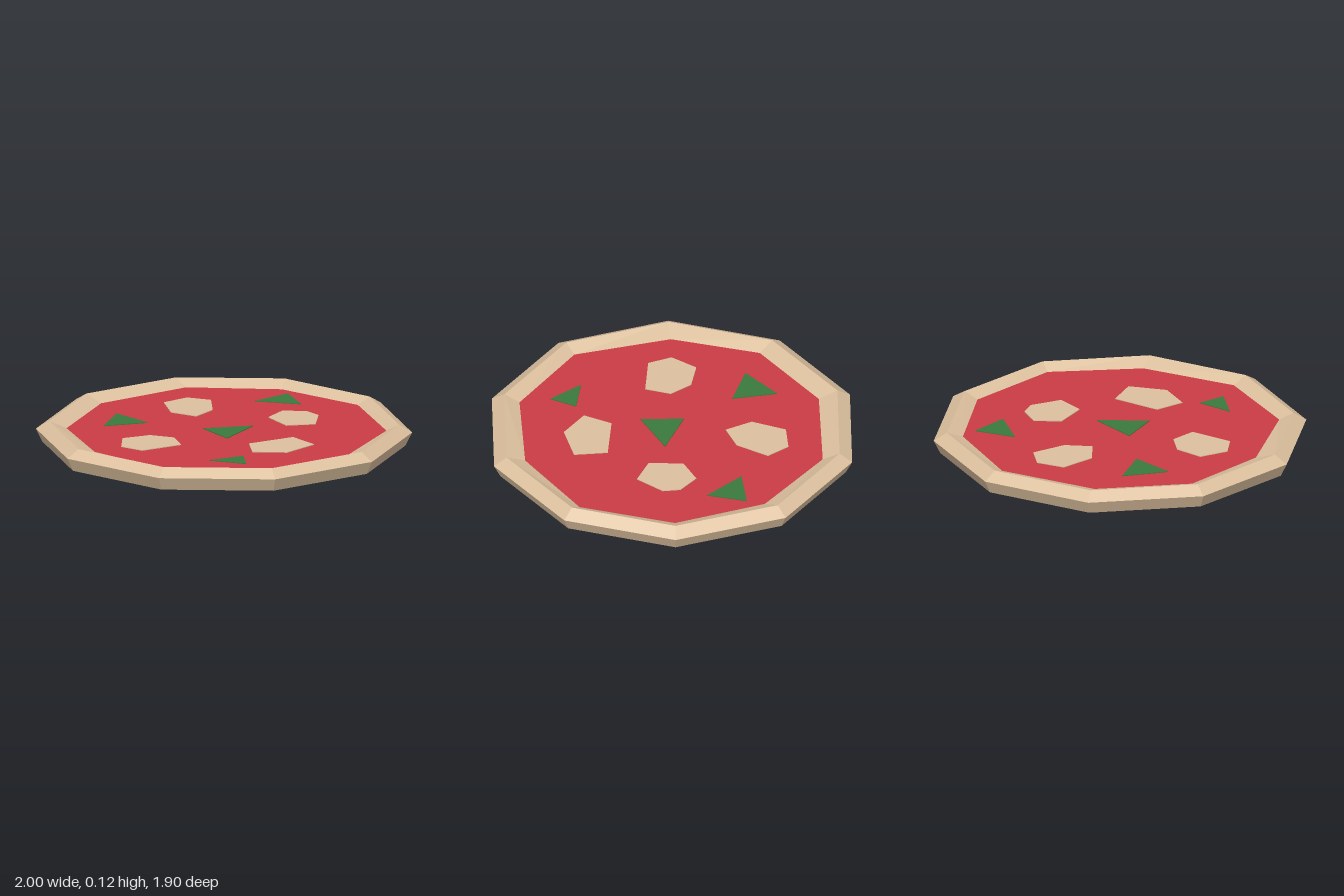
import * as THREE from 'three';

const SIDES = 10;
const SAUCE_Y = 0.08;

const material = (name, color, flatShading = true) => {
  const m = new THREE.MeshStandardMaterial({ color, flatShading });
  m.name = name;
  return m;
};

// Sauce outline as [x, z], one corner per crust side
const SAUCE = [
  [0.855, 0], [0.70, 0.505], [0.27, 0.785], [-0.26, 0.805], [-0.69, 0.505],
  [-0.82, -0.01], [-0.685, -0.48], [-0.26, -0.785], [0.29, -0.795], [0.69, -0.48],
];

const MUSHROOMS = [
  [[0.02, -0.605], [0.175, -0.615], [0.255, -0.505], [0.155, -0.34], [0.015, -0.285], [-0.055, -0.425]],
  [[-0.555, -0.14], [-0.40, -0.11], [-0.32, 0], [-0.365, 0.135], [-0.60, 0.115], [-0.65, -0.01]],
  [[0.32, -0.055], [0.455, -0.12], [0.555, -0.035], [0.565, 0.06], [0.455, 0.195], [0.31, 0.13]],
  [[-0.055, 0.32], [0.21, 0.345], [0.225, 0.525], [0.02, 0.575], [-0.13, 0.465]],
];

const PEPPERS = [
  [[-0.31, -0.565], [-0.27, -0.325], [-0.50, -0.40]],
  [[0.44, -0.36], [0.665, -0.385], [0.61, -0.175]],
  [[-0.09, -0.065], [0.16, 0.04], [-0.09, 0.165]],
  [[-0.41, 0.475], [-0.215, 0.505], [-0.285, 0.64]],
];

const outline = (points) =>
  new THREE.Shape(points.map(([x, z]) => new THREE.Vector2(x, -z)));

// Regular ring of crust corners
function ring(radius, y) {
  return Array.from({ length: SIDES }, (_, i) => {
    const a = (i / SIDES) * Math.PI * 2;
    return [Math.cos(a) * radius, y, Math.sin(a) * radius];
  });
}

// Crust: bottom disc, flared side, bevel and slope down to the sauce
function crustGeometry() {
  const rings = [
    ring(0, 0),
    ring(0.965, 0),
    ring(1, 0.072),
    ring(0.93, 0.115),
    SAUCE.map(([x, z]) => [x, SAUCE_Y, z]),
  ];
  const positions = [];
  for (let r = 0; r < rings.length - 1; r++) {
    const a = rings[r], b = rings[r + 1];
    for (let i = 0; i < SIDES; i++) {
      const j = (i + 1) % SIDES;
      if (r > 0) positions.push(...a[i], ...b[i], ...a[j]);
      positions.push(...b[i], ...b[j], ...a[j]);
    }
  }
  const geometry = new THREE.BufferGeometry();
  geometry.setAttribute('position', new THREE.Float32BufferAttribute(positions, 3));
  geometry.computeVertexNormals();
  return geometry;
}

export function createModel() {
  const model = new THREE.Group();
  model.name = 'pizza';
  const dough = material('dough', 0xdcc09e);
  const tomato = material('tomato', 0xc93b44);
  const green = material('green pepper', 0x3b793f);

  const add = (name, geometry, mat, parent = model) => {
    const mesh = new THREE.Mesh(geometry, mat);
    mesh.name = name;
    parent.add(mesh);
    return mesh;
  };

  add('crust', crustGeometry(), dough);

  // Sauce surface
  const sauce = new THREE.ShapeGeometry(outline(SAUCE)).rotateX(-Math.PI / 2);
  add('sauce', sauce, tomato).position.y = SAUCE_Y;

  // Thin toppings lying on the sauce
  const scatter = (groupName, name, pieces, mat) => {
    const group = new THREE.Group();
    group.name = groupName;
    pieces.forEach((points, i) => {
      const geometry = new THREE.ExtrudeGeometry(outline(points), { depth: 0.004, bevelEnabled: false });
      geometry.rotateX(-Math.PI / 2);
      add(name + (i + 1), geometry, mat, group).position.y = SAUCE_Y;
    });
    model.add(group);
  };
  scatter('mushrooms', 'mushroom', MUSHROOMS, dough);
  scatter('peppers', 'pepper', PEPPERS, green);

  return model;
}
